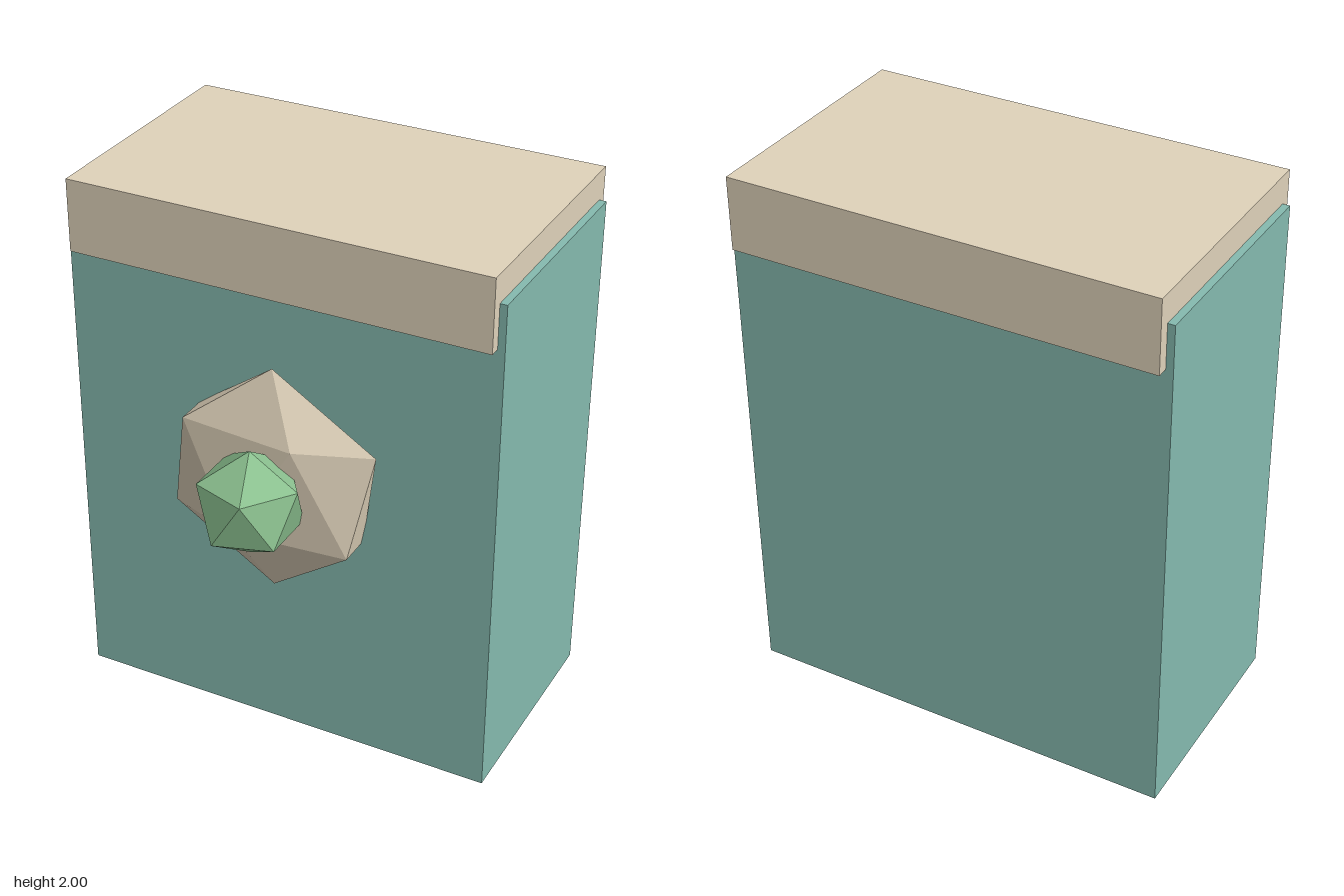
import * as THREE from 'three';

const teal = new THREE.MeshStandardMaterial({ color: 0x86bbb0, flatShading: true });
const cream = new THREE.MeshStandardMaterial({ color: 0xe0d3bb, flatShading: true });
const green = new THREE.MeshStandardMaterial({ color: 0x8bc08f, flatShading: true });

export function createModel() {
  const group = new THREE.Group();

  function add(name, geometry, material, x, y, z) {
    const mesh = new THREE.Mesh(geometry, material);
    mesh.name = name;
    mesh.position.set(x, y, z);
    group.add(mesh);
  }

  // Icosahedron standing on a corner, stretched to the given radii
  function gem(rx, ry, rz) {
    const golden = (1 + Math.sqrt(5)) / 2;
    return new THREE.IcosahedronGeometry(1, 0)
      .rotateZ(-Math.atan(1 / golden))
      .scale(rx, ry, rz);
  }

  // Box body and the overhanging lid slab, narrower than the body in x
  add('body', new THREE.BoxGeometry(1.592, 1.895, 0.835), teal, 0, 0.9475, -0.167);
  add('lid', new THREE.BoxGeometry(1.54, 0.265, 0.917), cream, 0, 1.8675, -0.168);

  // Flattened faceted plate on the front with a faceted knob
  add('knobPlate', gem(0.43, 0.43, 0.118), cream, 0, 1.057, 0.297);
  add('knob', gem(0.2, 0.2, 0.2), green, 0, 1.057, 0.456);

  return group;
}
